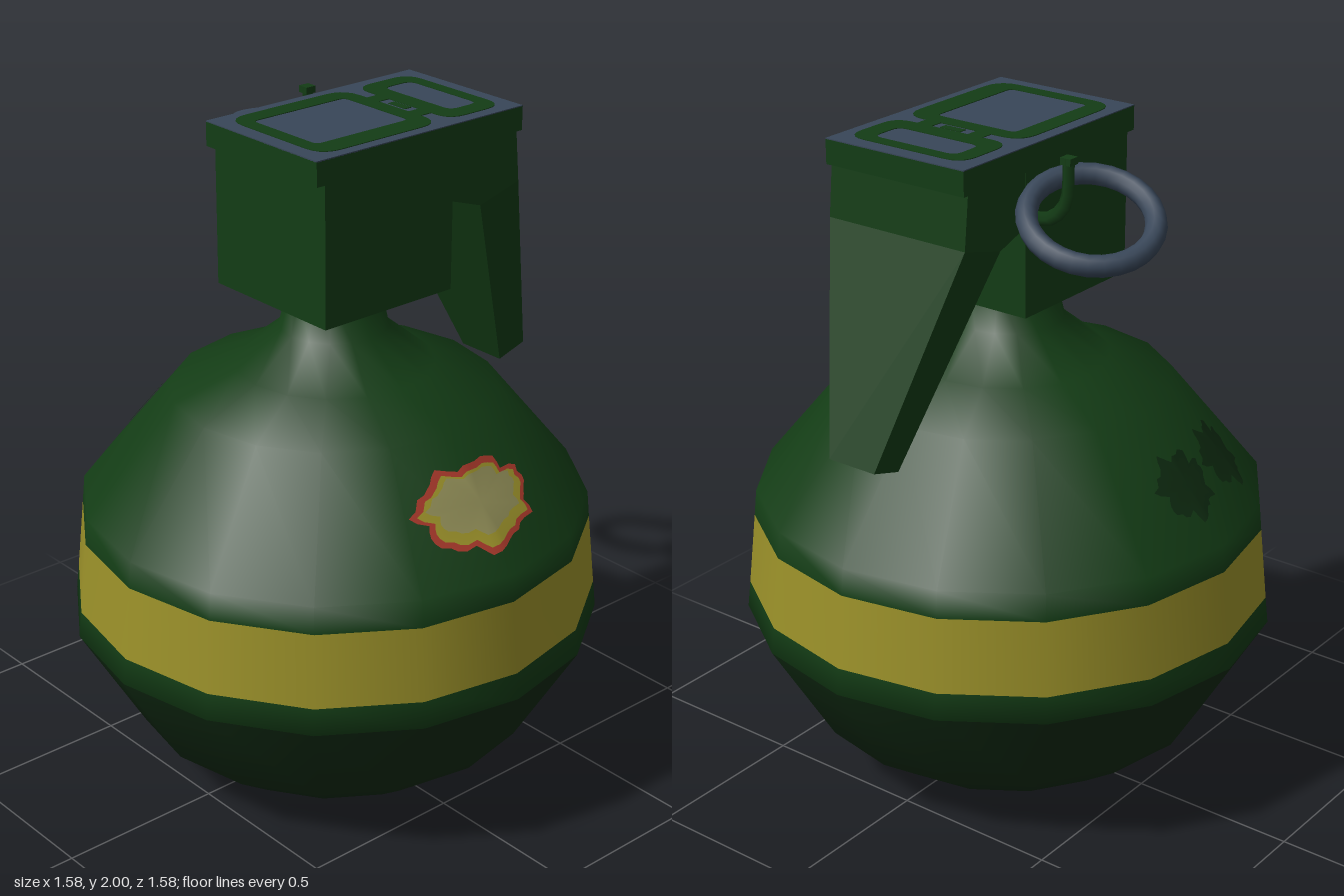
import * as THREE from 'three';

const mat = (name, color) => new THREE.MeshStandardMaterial({ name, color });

export function createModel() {
  const green = mat('green', 0x133c15);
  const darkGreen = mat('darkGreen', 0x0f2911);
  const smudgeGreen = mat('smudgeGreen', 0x0e2a10);
  const yellow = mat('yellow', 0x9a9029);
  const tan = mat('tan', 0x8f8c56);
  const red = mat('red', 0xa8382a);
  const steel = mat('steel', 0x384658);
  const group = new THREE.Group();
  const add = (name, geometry, material, x = 0, y = 0, z = 0) => {
    const mesh = new THREE.Mesh(geometry, material);
    mesh.name = name;
    mesh.position.set(x, y, z);
    group.add(mesh);
    return mesh;
  };

  // Faceted round body, coloured by height
  const profile = [[0, 0], [0.21, 0.005], [0.45, 0.065], [0.6, 0.175], [0.79, 0.5], [0.781, 0.58],
    [0.758, 0.8], [0.75, 0.88], [0.48, 1.21], [0.295, 1.285], [0.16, 1.395], [0.13, 1.52]];
  const SIDES = 16;
  const bodyGeo = new THREE.LatheGeometry(profile.map(p => new THREE.Vector2(...p)), SIDES);
  const rows = profile.length - 1;
  for (let i = 0; i < SIDES; i++) {
    for (let j = 0; j < rows; j++) {
      bodyGeo.addGroup((i * rows + j) * 6, 6, j < 4 ? 1 : j === 5 ? 2 : 0);
    }
  }
  add('body', bodyGeo, [green, darkGreen, yellow]);

  // Ragged flat patch folded over an edge of the body's upper slope
  const patch = (name, material, angle, cy, rx, ry, jag, lift) => {
    const N = 48, pos = [], index = [];
    const put = (x, y) => {
      const r = 0.75 - (y - 0.88) * 0.27 / 0.33;
      pos.push(x, y + lift * 0.6, r - Math.abs(x) * Math.tan(Math.PI / SIDES) + lift);
    };
    put(0, cy);
    for (let i = 0; i < N; i++) {
      const t = i / N * Math.PI * 2;
      const k = 1 + jag * (Math.sin(7 * t) + 0.7 * Math.cos(12 * t + 1) + 0.5 * Math.sin(17 * t));
      put(rx * k * Math.cos(t), cy + ry * k * Math.sin(t));
      index.push(0, i + 1, (i + 1) % N + 1);
    }
    const g = new THREE.BufferGeometry();
    g.setAttribute('position', new THREE.Float32BufferAttribute(pos, 3));
    g.setIndex(index);
    g.computeVertexNormals();
    add(name, g, material).rotation.y = angle;
  };
  patch('patchOutline', red, 0, 1.04, 0.2, 0.098, 0.07, 0.003);
  patch('patchYellow', yellow, 0, 1.04, 0.18, 0.083, 0.07, 0.006);
  patch('patchWorn', tan, 0, 1.05, 0.155, 0.066, 0.07, 0.008);
  patch('smudgeRight', smudgeGreen, Math.PI, 1.03, 0.1, 0.075, 0.12, 0.003);
  patch('smudgeLeft', smudgeGreen, Math.PI + Math.PI / 8, 1.03, 0.1, 0.075, 0.12, 0.003);

  // Head block and overhanging cap
  add('head', new THREE.BoxGeometry(0.47, 0.46, 0.47), green, 0, 1.74, 0);
  add('cap', new THREE.BoxGeometry(0.765, 0.07, 0.472), green, 0.1175, 1.96, 0);
  add('capTop', new THREE.BoxGeometry(0.765, 0.004, 0.472), steel, 0.1175, 1.996, 0);

  // Rounded frames painted on the cap
  const rounded = (path, x0, x1, z0, z1, r) => {
    path.moveTo(x0 + r, z0);
    path.lineTo(x1 - r, z0);
    path.quadraticCurveTo(x1, z0, x1, z0 + r);
    path.lineTo(x1, z1 - r);
    path.quadraticCurveTo(x1, z1, x1 - r, z1);
    path.lineTo(x0 + r, z1);
    path.quadraticCurveTo(x0, z1, x0, z1 - r);
    path.lineTo(x0, z0 + r);
    path.quadraticCurveTo(x0, z0, x0 + r, z0);
    return path;
  };
  const frame = (name, outer, inner) => {
    const shape = rounded(new THREE.Shape(), ...outer);
    shape.holes.push(rounded(new THREE.Path(), ...inner));
    const g = new THREE.ExtrudeGeometry(shape, { depth: 0.002, bevelEnabled: false, curveSegments: 5 });
    add(name, g.rotateX(-Math.PI / 2), green, 0, 1.999, 0);
  };
  frame('largeFrame', [-0.22, 0.21, -0.205, 0.2, 0.07], [-0.175, 0.16, -0.13, 0.14, 0.02]);
  frame('smallFrame', [0.25, 0.455, -0.2, 0.195, 0.06], [0.31, 0.415, -0.14, 0.14, 0.03]);
  for (const z of [-0.075, 0.1]) {
    add('frameBridge', new THREE.BoxGeometry(0.06, 0.002, 0.05), green, 0.23, 2, z);
  }
  add('frameDot', new THREE.BoxGeometry(0.025, 0.002, 0.07), green, 0.232, 2, 0.015);

  // Lever: tapered blocks, each end given as [inner x, inner y, outer x, outer y, half width]
  const taper = (name, top, bottom) => {
    const g = new THREE.BoxGeometry(2, 2, 2);
    const p = g.attributes.position;
    for (let i = 0; i < p.count; i++) {
      const e = p.getY(i) > 0 ? top : bottom;
      const k = p.getX(i) > 0 ? 2 : 0;
      p.setXYZ(i, e[k], e[k + 1], p.getZ(i) * e[4]);
    }
    const flat = g.toNonIndexed();
    flat.computeVertexNormals();
    add(name, flat, green);
  };
  taper('leverBlock', [0.22, 1.93, 0.48, 1.93, 0.234], [0.22, 1.775, 0.495, 1.775, 0.234]);
  taper('leverBend', [0.225, 1.78, 0.495, 1.775, 0.234], [0.235, 1.772, 0.345, 1.735, 0.234]);
  taper('leverArm', [0.345, 1.735, 0.495, 1.775, 0.234], [0.6, 1.14, 0.7, 1.17, 0.08]);

  // Safety pin and tilted pull ring
  const pinPath = new THREE.CatmullRomCurve3([[1.79, -0.22], [1.8, -0.29], [1.85, -0.34], [1.98, -0.35]]
    .map(([y, z]) => new THREE.Vector3(0.2, y, z)));
  add('pin', new THREE.TubeGeometry(pinPath, 8, 0.02, 4), green);
  add('pinTip', new THREE.BoxGeometry(0.034, 0.02, 0.034), green, 0.2, 1.972, -0.35);
  const ring = add('pullRing', new THREE.TorusGeometry(0.172, 0.03, 10, 28), steel, 0.22, 1.835, -0.44);
  ring.quaternion.setFromUnitVectors(new THREE.Vector3(0, 0, 1), new THREE.Vector3(0.33, 1, -0.37).normalize());

  return group;
}
